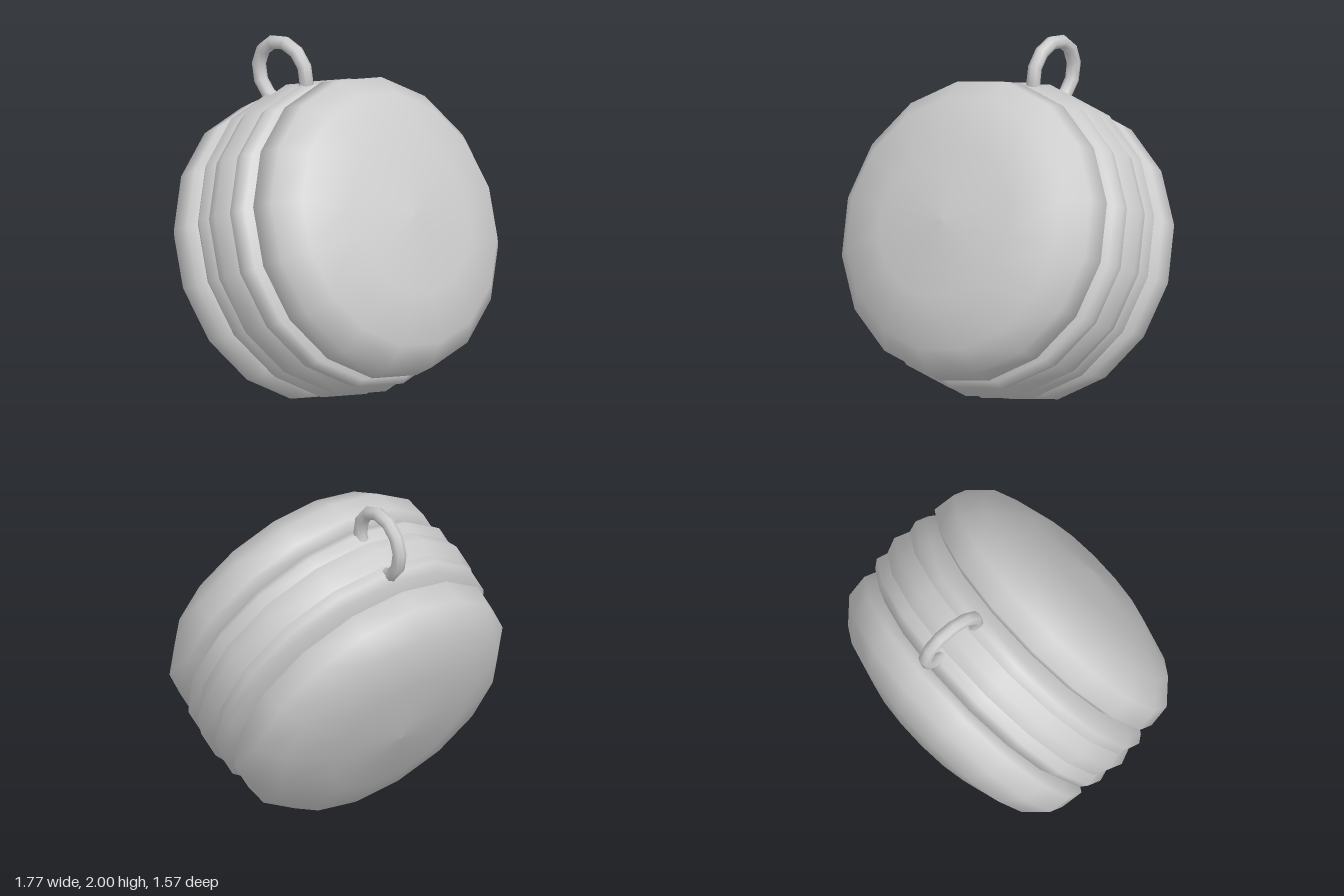
import * as THREE from 'three';

const SIDES = 16;

export function createModel() {
  const model = new THREE.Group();
  model.name = 'macaronCharm';
  const grey = new THREE.MeshStandardMaterial({ color: 0xcccccc });
  grey.name = 'lightGrey';

  // The biscuit's axis is local y; the whole charm leans back by 25 degrees
  const charm = new THREE.Group();
  charm.name = 'tiltedCharm';
  charm.position.y = 0.929;
  charm.rotation.x = THREE.MathUtils.degToRad(65);
  model.add(charm);

  // Turned part from [radius, height] points, optionally flipped to the back
  function turned(name, points, flip = false) {
    const profile = points.map(([r, h]) => new THREE.Vector2(r, h));
    const mesh = new THREE.Mesh(new THREE.LatheGeometry(profile, SIDES), grey);
    mesh.name = name;
    if (flip) mesh.rotation.x = Math.PI;
    charm.add(mesh);
  }

  // Domed shells with undercut rims
  const shell = [[0.64, 0.19], [0.755, 0.235], [0.845, 0.273], [0.829, 0.405],
    [0.713, 0.531], [0.434, 0.628], [0, 0.657]];
  turned('frontShell', shell);
  turned('backShell', shell, true);

  // Three bulging layers of filling
  const outerFilling = [[0.851, 0.087], [0.87, 0.15], [0.838, 0.195], [0.75, 0.235], [0.62, 0.29]];
  turned('middleFilling', [[0.851, -0.087], [0.885, 0], [0.851, 0.087]]);
  turned('frontFilling', outerFilling);
  turned('backFilling', outerFilling, true);

  // Hanging loop sunk into the top of the filling
  const loop = new THREE.Mesh(new THREE.TorusGeometry(0.18, 0.039, 8, 12), grey);
  loop.name = 'hangingLoop';
  loop.rotation.y = Math.PI / 2;
  loop.position.z = -0.95;
  charm.add(loop);

  return model;
}
